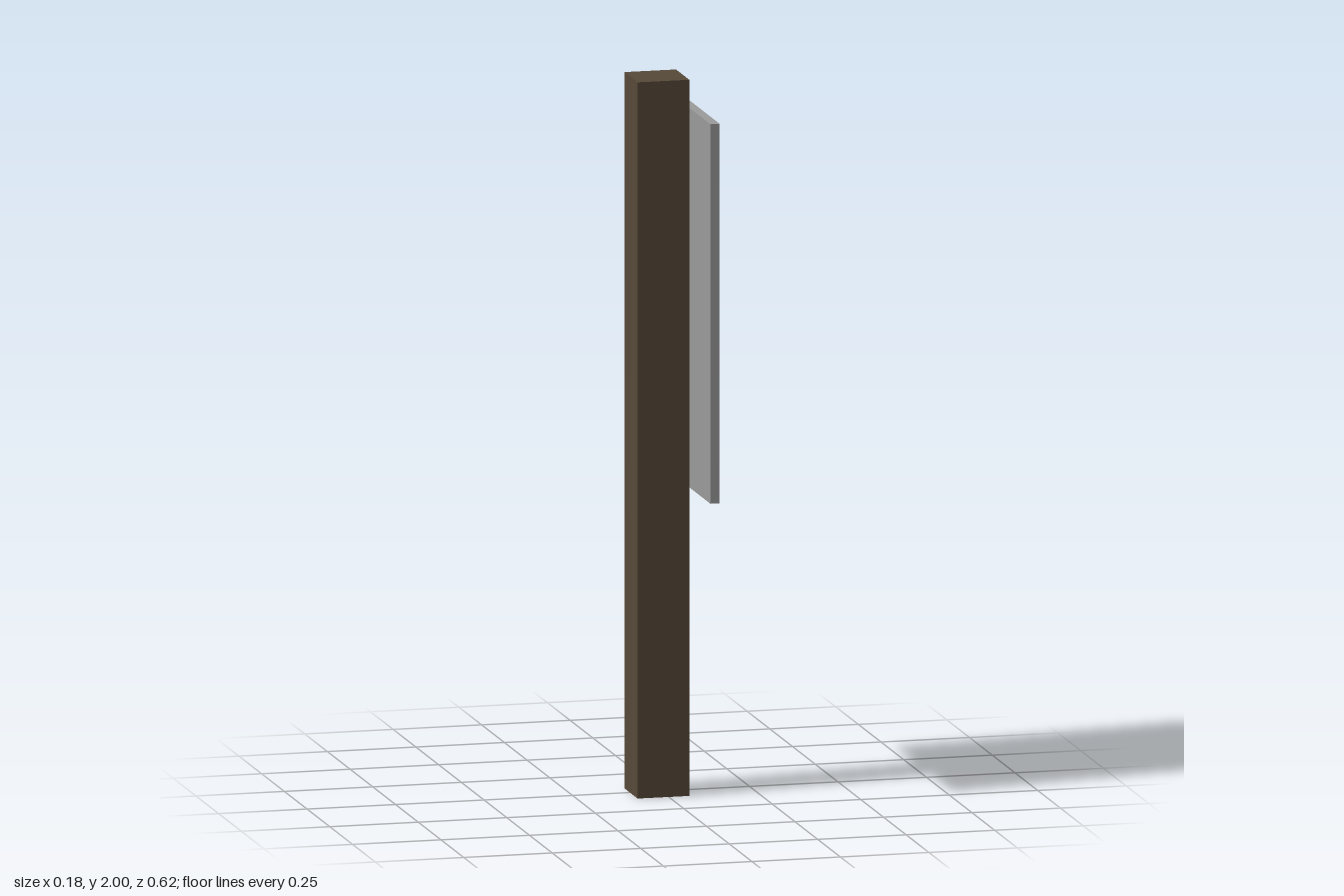
import * as THREE from 'three';

function material(name, color) {
  const m = new THREE.MeshStandardMaterial({ color });
  m.name = name;
  return m;
}

export function createModel() {
  const wood = material('brown wood', 0x574a39);
  const metal = material('grey metal', 0x9c9c9c);
  const yellow = material('yellow paint', 0xc8a62b);
  const black = material('black paint', 0x2d2d2d);

  const model = new THREE.Group();
  model.name = 'chevronRoadSign';
  const add = (name, geometry, mat, x, y, z) => {
    const mesh = new THREE.Mesh(geometry, mat);
    mesh.name = name;
    mesh.position.set(x, y, z);
    model.add(mesh);
    return mesh;
  };

  // Square post, set slightly off the centre of the board
  add('post', new THREE.BoxGeometry(0.146, 2, 0.146), wood, -0.015, 1, 0.0125);

  // Metal board with its +x face painted yellow
  add('signBoard', new THREE.BoxGeometry(0.026, 1.06, 0.62),
    [yellow, metal, metal, metal, metal, metal], 0.073, 1.39, 0);

  // Chevron pointing to +z, laid flat on the painted face
  const chevron = new THREE.Shape([
    [-0.29, 0], [0.07, -0.503], [0.297, -0.503],
    [-0.023, 0], [0.297, 0.503], [0.07, 0.503],
  ].map(([u, v]) => new THREE.Vector2(u, v)));
  const arrow = add('chevron', new THREE.ShapeGeometry(chevron), black, 0.0875, 1.39, 0);
  arrow.rotation.y = Math.PI / 2;

  return model;
}
